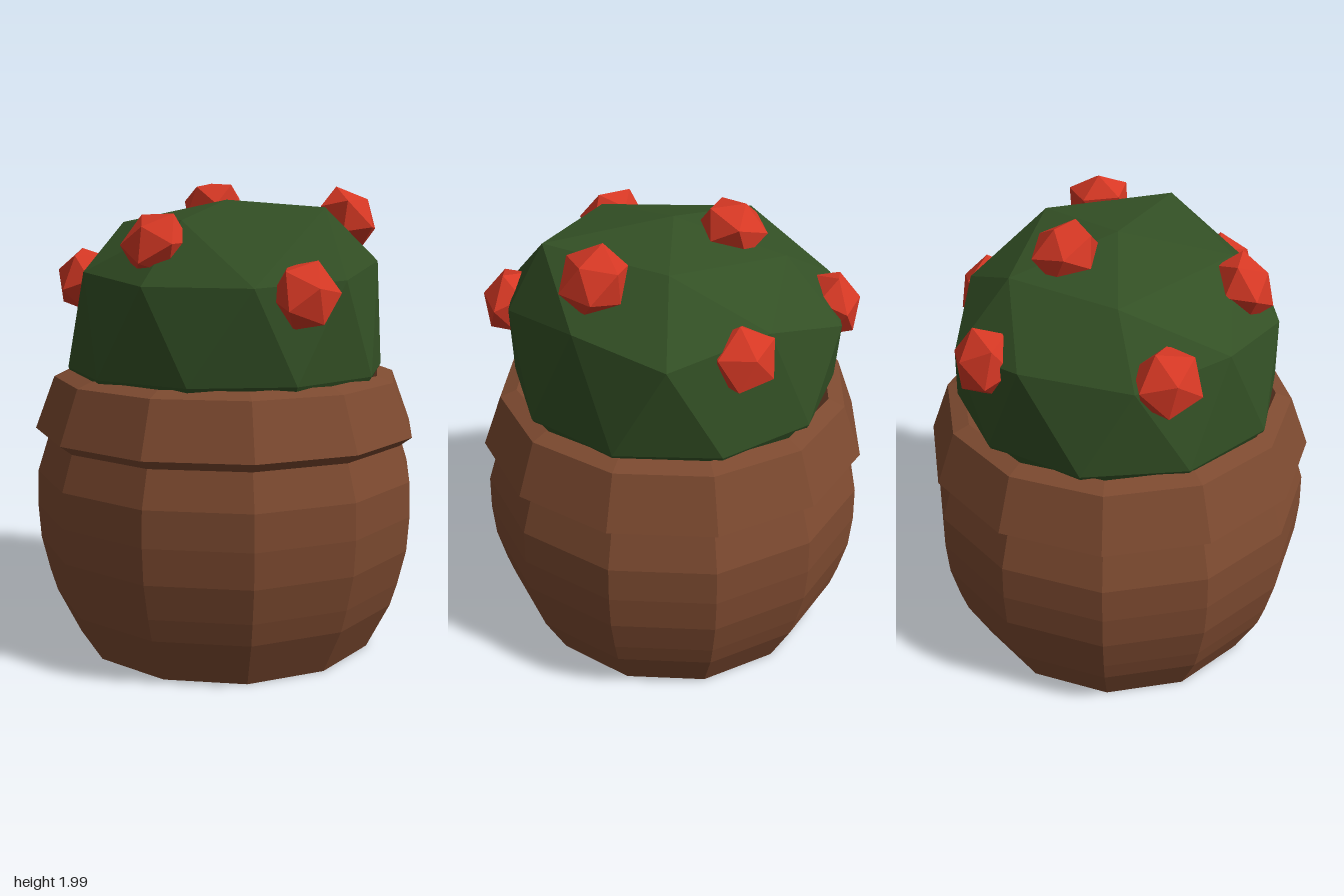
import * as THREE from 'three';

const paint = (color) => new THREE.MeshStandardMaterial({ color, flatShading: true, side: THREE.DoubleSide });

// Twelve-sided turned pot with a flared rim
function makePot(material) {
  const profile = [
    [0, 0], [0.66, 0], [0.76, 0.2], [0.79, 0.3], [0.825, 0.45], [0.835, 0.6], [0.83, 0.75], [0.782, 0.9],
    [0.835, 0.94], [0.75, 1.165], [0.68, 1.19], [0.62, 1.1], [0.6, 0.95],
  ].map(([r, y]) => new THREE.Vector2(r, y));
  const pot = new THREE.Mesh(new THREE.LatheGeometry(profile, 12, THREE.MathUtils.degToRad(14)), material);
  pot.name = 'pot';
  return pot;
}

// Faceted cactus dome: crown point, ring of 5, ring of 10, staggered waist and hidden base
function makeCactus(material) {
  const crown = [0, 1.915, 0];
  const upper = [[0.46, 1.87, 0], [0.13, 1.81, -0.45], [-0.36, 1.82, -0.32], [-0.33, 1.83, 0.32], [0.21, 1.88, 0.5]];
  const shoulder = [
    [0.71, 1.6, 0], [0.5, 1.66, -0.38], [0.2, 1.54, -0.68], [-0.18, 1.6, -0.66], [-0.53, 1.56, -0.39],
    [-0.64, 1.62, 0], [-0.53, 1.58, 0.4], [-0.18, 1.58, 0.68], [0.23, 1.6, 0.65], [0.54, 1.66, 0.36],
  ];
  const ring = (r, y) => Array.from({ length: 10 }, (_, k) => {
    const a = (k + 0.5) * Math.PI / 5;
    return [r * Math.cos(a), y, -r * Math.sin(a)];
  });
  const waist = ring(0.69, 1.2), base = ring(0.56, 0.95);

  const positions = [];
  const tri = (a, b, c) => positions.push(...a, ...b, ...c);
  for (let i = 0; i < 5; i++) {
    const a = upper[i], b = upper[(i + 1) % 5], mid = shoulder[2 * i + 1];
    tri(crown, a, b);
    tri(a, shoulder[2 * i], mid);
    tri(a, mid, b);
    tri(b, mid, shoulder[(2 * i + 2) % 10]);
  }
  for (let k = 0; k < 10; k++) {
    const n = (k + 1) % 10;
    tri(shoulder[k], waist[k], shoulder[n]);
    tri(shoulder[n], waist[k], waist[n]);
    tri(waist[k], base[k], waist[n]);
    tri(waist[n], base[k], base[n]);
    tri(base[k], [0, 0.9, 0], base[n]);
  }
  const geometry = new THREE.BufferGeometry();
  geometry.setAttribute('position', new THREE.Float32BufferAttribute(positions, 3));
  geometry.computeVertexNormals();
  const cactus = new THREE.Mesh(geometry, material);
  cactus.name = 'cactus';
  return cactus;
}

// Flattened red buds, each with a tip pointing out of the cactus
function makeBuds(material) {
  const buds = new THREE.Group();
  buds.name = 'buds';
  const geometry = new THREE.IcosahedronGeometry(0.146, 0);
  geometry.rotateZ(-Math.atan(2 / (1 + Math.sqrt(5))));
  geometry.scale(1, 0.75, 1);
  const spots = [
    [0.04, 1.89, -0.24], [0.035, 1.55, 0.68], [0.44, 1.84, 0.28], [0.035, 1.56, -0.66],
    [0.53, 1.57, -0.28], [-0.43, 1.74, 0.29], [-0.57, 1.58, -0.26],
  ];
  const up = new THREE.Vector3(0, 1, 0);
  for (const [x, y, z] of spots) {
    const bud = new THREE.Mesh(geometry, material);
    bud.name = 'bud';
    bud.position.set(x, y, z);
    bud.quaternion.setFromUnitVectors(up, new THREE.Vector3(x, y - 1.35, z).normalize());
    buds.add(bud);
  }
  return buds;
}

export function createModel() {
  const model = new THREE.Group();
  model.name = 'pottedCactus';
  model.add(makePot(paint(0x7d4a30)), makeCactus(paint(0x335025)), makeBuds(paint(0xd63824)));
  return model;
}
